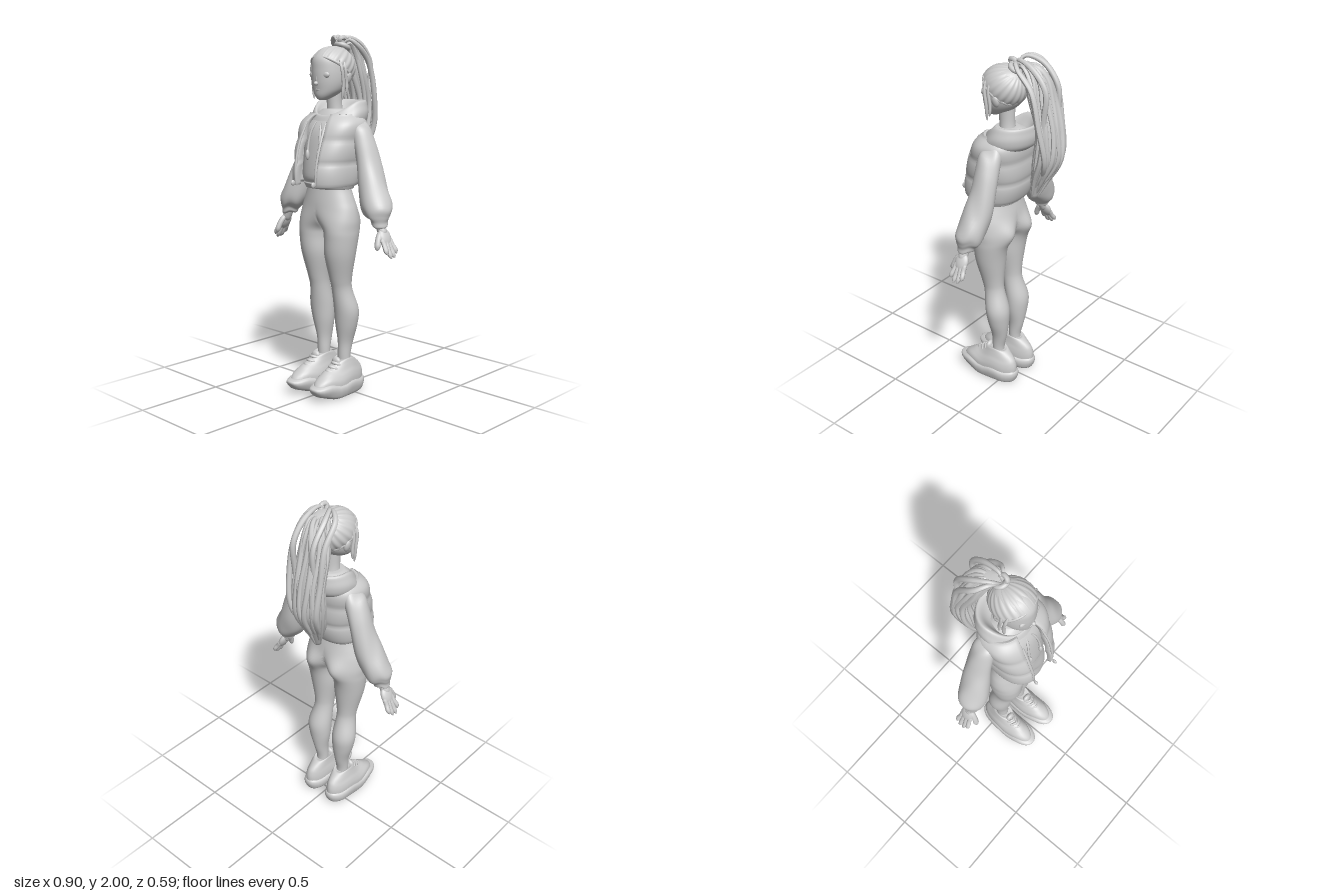
import * as THREE from 'three';

const V = (x, y, z) => new THREE.Vector3(x, y, z);
const grey = new THREE.MeshStandardMaterial({ color: 0xcccccc, side: THREE.DoubleSide });
grey.name = 'clay grey';

// Catmull-Rom resampling of rows of numbers
function smoothRows(rows, k) {
  const out = [], n = rows.length;
  for (let i = 0; i < n - 1; i++) {
    const [a, b, c, d] = [rows[Math.max(i - 1, 0)], rows[i], rows[i + 1], rows[Math.min(i + 2, n - 1)]];
    for (let j = 0; j < k; j++) {
      const t = j / k;
      out.push(b.map((_, q) => b[q] + 0.5 * t * (c[q] - a[q] + t * (2 * a[q] - 5 * b[q] + 4 * c[q] - d[q] + t * (3 * (b[q] - c[q]) + d[q] - a[q])))));
    }
  }
  out.push(rows[n - 1]);
  return out;
}

// Skin over closed rings listed bottom to top, with end caps
function skin(rings, cap) {
  const m = rings[0].length, pts = rings.flat(), idx = [];
  for (let i = 0; i < rings.length - 1; i++) for (let j = 0; j < m; j++) {
    const a = i * m + j, b = i * m + (j + 1) % m;
    idx.push(a, b, b + m, a, b + m, a + m);
  }
  if (cap) [0, rings.length - 1].forEach((r, e) => {
    const c = pts.length, mid = V(0, 0, 0);
    rings[r].forEach(p => mid.addScaledVector(p, 1 / m));
    pts.push(mid);
    for (let j = 0; j < m; j++) {
      const a = r * m + j, b = r * m + (j + 1) % m;
      idx.push(...(e ? [c, a, b] : [c, b, a]));
    }
  });
  const g = new THREE.BufferGeometry().setFromPoints(pts);
  g.setIndex(idx);
  g.computeVertexNormals();
  return g;
}

const spow = (v, p) => Math.sign(v) * Math.abs(v) ** (2 / p);
const oval = (y, cx, cz, rx, rz, a, p = 2) => V(cx + rx * spow(Math.sin(a), p), y, cz + rz * spow(Math.cos(a), p));

// Body of oval sections; rows are [y, cx, cz, rx, rz]
function loft(rows, { p = 2, seg = 36, bend = null, cap = true } = {}) {
  return skin(smoothRows(rows, 5).map(r => Array.from({ length: seg }, (_, j) => {
    const v = oval(...r, j / seg * Math.PI * 2, p);
    if (bend) bend(v);
    return v;
  })), cap);
}

const ball = (x, y, z, rx, ry, rz, tilt = 0) =>
  new THREE.SphereGeometry(1, 24, 16).scale(rx, ry, rz).rotateZ(tilt).translate(x, y, z);

// Tube through points, tapered at both ends
function strand(points, r, seg = 30, sides = 7) {
  const curve = new THREE.CatmullRomCurve3(points), g = new THREE.TubeGeometry(curve, seg, r, sides);
  const pos = g.attributes.position, v = V(0, 0, 0);
  for (let i = 0; i <= seg; i++) {
    const c = curve.getPointAt(i / seg), f = Math.max(0.02, Math.min(1, Math.sqrt(5 * Math.min(i, seg - i) / seg)));
    for (let j = 0; j <= sides; j++) {
      const q = i * (sides + 1) + j;
      v.fromBufferAttribute(pos, q).sub(c).multiplyScalar(f).add(c);
      pos.setXYZ(q, v.x, v.y, v.z);
    }
  }
  g.computeVertexNormals();
  return g;
}

function mirrored(geo) {
  const g = geo.clone().scale(-1, 1, 1), ix = g.index.array;
  for (let i = 0; i < ix.length; i += 3) [ix[i], ix[i + 1]] = [ix[i + 1], ix[i]];
  return g;
}

export function createModel() {
  const model = new THREE.Group();
  const add = (name, g) => {
    const mesh = new THREE.Mesh(g, grey);
    mesh.name = name;
    model.add(mesh);
  };
  const pair = (name, g) => { add(name + 'Left', g); add(name + 'Right', mirrored(g)); };

  // Leg and half of the hips in one skin, cut flat at the midline, with a rounded seat
  const leg = loft([[0.15, 0.08, 0.035, 0.036, 0.035], [0.22, 0.08, 0.036, 0.036, 0.036], [0.3, 0.083, 0.028, 0.041, 0.047],
    [0.4, 0.09, 0.028, 0.063, 0.062], [0.49, 0.094, 0.033, 0.07, 0.069], [0.6, 0.086, 0.058, 0.056, 0.06],
    [0.67, 0.086, 0.07, 0.06, 0.066], [0.8, 0.09, 0.08, 0.084, 0.089], [0.9, 0.096, 0.077, 0.091, 0.1],
    [0.95, 0.09, 0.074, 0.099, 0.105], [1.0, 0.06, 0.072, 0.13, 0.108], [1.06, 0.015, 0.07, 0.165, 0.108],
    [1.11, 0, 0.07, 0.162, 0.105], [1.18, 0, 0.072, 0.137, 0.095], [1.24, 0, 0.07, 0.135, 0.09]], {
    seg: 56, bend: v => {
      const back = THREE.MathUtils.smoothstep(0.07 - v.z, 0, 0.09);
      v.z -= 0.036 * back * Math.exp(-(((v.x - 0.085) / 0.06) ** 2) - ((v.y - 0.995) / 0.07) ** 2);
      v.x = Math.max(v.x, 0);
    }
  });
  const lp = leg.attributes.position, ln = leg.attributes.normal;
  for (let i = 0; i < lp.count; i++) if (lp.getX(i) === 0) {
    const n = V(0, ln.getY(i), ln.getZ(i)).normalize();
    ln.setXYZ(i, 0, n.y, n.z);
  }
  pair('leg', leg);

  // Chunky shoes
  const toe = v => {
    const f = Math.max(0, v.z - 0.12) / 0.18;
    v.y += 0.045 * f * f * Math.max(0, 1 - v.y / 0.13);
    v.y += 0.007 * Math.sin(v.z * 38) * Math.min(1, v.y / 0.03);
    v.x += 0.02 * (v.z - 0.03);
  };
  pair('shoeSole', loft([[0, 0.087, 0.09, 0.052, 0.15], [0.012, 0.087, 0.095, 0.068, 0.18], [0.045, 0.087, 0.1, 0.078, 0.2],
    [0.07, 0.087, 0.1, 0.077, 0.198], [0.085, 0.087, 0.095, 0.066, 0.18]], { p: 2.4, bend: toe }));
  pair('shoeUpper', loft([[0.06, 0.087, 0.095, 0.07, 0.188], [0.1, 0.087, 0.085, 0.07, 0.178], [0.13, 0.086, 0.065, 0.064, 0.152],
    [0.155, 0.084, 0.052, 0.056, 0.128], [0.182, 0.082, 0.045, 0.05, 0.098], [0.203, 0.08, 0.045, 0.045, 0.068],
    [0.198, 0.08, 0.04, 0.034, 0.045]], { p: 2.1, bend: toe }));
  for (let i = 0; i < 4; i++) {
    const y = 0.135 + i * 0.018, z = 0.204 - i * 0.024;
    pair('shoeLace' + i, strand([V(0.052, y - 0.008, z - 0.03), V(0.086, y + 0.003, z - 0.004), V(0.122, y - 0.008, z - 0.03)], 0.009, 12));
  }
  pair('shoeTongue', ball(0.082, 0.195, 0.1, 0.03, 0.026, 0.018));

  // Hoodie body, hem and drawstrings
  add('hoodieBody', loft([[1.17, 0, 0.068, 0.143, 0.108], [1.195, 0, 0.07, 0.153, 0.12], [1.205, 0, 0.07, 0.15, 0.117],
    [1.24, 0, 0.065, 0.16, 0.133], [1.35, 0, 0.052, 0.16, 0.138], [1.48, 0, 0.042, 0.165, 0.125],
    [1.56, 0, 0.02, 0.125, 0.1], [1.6, 0, 0.03, 0.06, 0.06]], { p: 2.2 }));
  pair('drawstring', strand([V(0.018, 1.535, 0.15), V(0.032, 1.49, 0.172), V(0.042, 1.42, 0.188), V(0.04, 1.34, 0.2)], 0.007));
  pair('drawstringTip', ball(0.04, 1.355, 0.199, 0.011, 0.028, 0.011));

  // Hood resting round the neck, dipping to the front
  add('hood', loft([[1.49, 0, 0.02, 0.13, 0.11], [1.53, 0, 0, 0.162, 0.14], [1.575, 0, -0.005, 0.17, 0.15],
    [1.615, 0, -0.015, 0.158, 0.138], [1.642, 0, -0.02, 0.145, 0.128], [1.635, 0, -0.015, 0.125, 0.112],
    [1.59, 0, 0, 0.095, 0.09], [1.55, 0, 0.02, 0.05, 0.05]], {
    cap: false, bend: v => {
      const f = THREE.MathUtils.smoothstep(v.z, -0.02, 0.15);
      v.y -= 0.095 * f;
      v.z += 0.02 * f;
    }
  }));

  // Padded vest, open at the front, with quilted rows
  const vestRows = smoothRows([[1.19, 0, 0.1, 0.175, 0.168], [1.3, 0, 0.082, 0.18, 0.176], [1.42, 0, 0.06, 0.19, 0.162],
    [1.52, 0, 0.037, 0.192, 0.143], [1.575, 0, 0.02, 0.155, 0.11]], 8);
  const vestRing = ([y, cx, cz, rx, rz], thick) => {
    const puff = 0.95 + 0.055 * Math.sqrt(Math.abs(Math.sin(Math.PI * (y - 1.19) / 0.125)));
    const ring = [], n = 44, gap = 0.32;
    for (let side = 0; side < 2; side++) for (let j = 0; j <= n; j++) {
      const a = gap + (side ? n - j : j) / n * (Math.PI * 2 - gap * 2), s = puff - side * thick;
      ring.push(oval(y, cx, cz, rx * s, rz * s, a, 2.5));
    }
    return ring;
  };
  const last = vestRows.length - 1;
  add('vest', skin(vestRows.map((r, i) => vestRing(r, i === 0 || i === last ? 0.01 : 0.15)), false));
  pair('vestZip', strand([V(0.076, 1.19, 0.255), V(0.078, 1.3, 0.25), V(0.08, 1.42, 0.22), V(0.07, 1.54, 0.165)], 0.007));
  pair('zipPull', ball(0.078, 1.205, 0.272, 0.008, 0.016, 0.014));

  // Puffed sleeves, gathered at the cuff
  pair('sleeve', loft([[0.985, 0.348, 0.045, 0.028, 0.034], [0.995, 0.348, 0.045, 0.042, 0.045], [1.02, 0.342, 0.043, 0.047, 0.052],
    [1.05, 0.325, 0.037, 0.072, 0.073], [1.1, 0.312, 0.032, 0.089, 0.082], [1.2, 0.272, 0.018, 0.075, 0.08],
    [1.32, 0.235, 0.008, 0.062, 0.072], [1.42, 0.202, 0.006, 0.058, 0.068], [1.5, 0.168, 0.008, 0.054, 0.06],
    [1.55, 0.135, 0.01, 0.03, 0.03]], { bend: v => { v.y += 0.008 * Math.sin(v.x * 55 + v.z * 40); } }));

  // Hands
  pair('wrist', strand([V(0.325, 1.06, 0.045), V(0.352, 1.0, 0.047), V(0.385, 0.93, 0.048)], 0.026, 12, 12));
  pair('palm', ball(0.386, 0.935, 0.045, 0.021, 0.054, 0.041, 0.44));
  [[0.074, 0.08, 0.85], [0.054, 0.057, 0.828], [0.034, 0.032, 0.83], [0.016, 0.009, 0.85]].forEach(([z0, z1, y], i) =>
    pair('finger' + i, strand([V(0.385, 0.94, z0), V(0.41, 0.895, z0), V(0.426, (0.895 + y) / 2, z1), V(0.449 - (y - 0.825) * 0.4, y, z1)], 0.0135, 14, 8)));
  pair('thumb', strand([V(0.37, 0.97, 0.06), V(0.38, 0.925, 0.092), V(0.39, 0.87, 0.112)], 0.016, 14, 8));

  // Neck, head and face
  add('neck', loft([[1.54, 0, 0.02, 0.055, 0.05], [1.62, 0, 0.03, 0.041, 0.043], [1.74, 0, 0.035, 0.043, 0.05]]));
  add('head', loft([[1.648, 0, 0.122, 0.015, 0.02], [1.655, 0, 0.115, 0.032, 0.037], [1.675, 0, 0.097, 0.057, 0.064],
    [1.705, 0, 0.075, 0.081, 0.09], [1.75, 0, 0.057, 0.097, 0.113], [1.81, 0, 0.048, 0.102, 0.123],
    [1.87, 0, 0.045, 0.095, 0.118], [1.915, 0, 0.04, 0.065, 0.08], [1.932, 0, 0.04, 0.015, 0.02]]));
  add('nose', ball(0, 1.737, 0.172, 0.012, 0.012, 0.013));
  add('noseBridge', ball(0, 1.765, 0.16, 0.01, 0.034, 0.012));
  add('upperLip', ball(0, 1.705, 0.157, 0.021, 0.006, 0.011));
  add('lowerLip', ball(0, 1.695, 0.153, 0.017, 0.007, 0.012));
  pair('eyelid', ball(0.042, 1.783, 0.145, 0.03, 0.02, 0.014));
  pair('ear', ball(0.102, 1.765, 0.03, 0.014, 0.034, 0.022, -0.25));

  // Combed hair swept back to a high tie
  const hair = new THREE.SphereGeometry(1, 120, 24, 0, Math.PI * 2, 0, Math.PI * 0.55), hp = hair.attributes.position;
  for (let i = 0; i < hp.count; i++) {
    const x = hp.getX(i), z = hp.getZ(i), k = 1 + 0.018 * Math.sin(Math.atan2(z, x) * 20) * Math.hypot(x, z);
    hp.setXYZ(i, x * k, hp.getY(i) * k, z * k);
  }
  hair.rotateX(-0.7).scale(0.116, 0.113, 0.13).translate(0, 1.822, 0.043);
  hair.computeVertexNormals();
  add('hairCap', hair);
  const rim = Array.from({ length: 9 }, (_, i) => {
    const a = i / 8 * Math.PI, t = Math.PI * 0.55;
    return V(Math.sin(t) * Math.sin(a), Math.cos(t), Math.sin(t) * Math.cos(a)).applyAxisAngle(V(1, 0, 0), -0.7)
      .multiply(V(0.113, 0.11, 0.127)).add(V(0, 1.822, 0.043));
  });
  pair('hairline', strand(rim, 0.008));
  for (let i = 0; i < 2; i++) pair('sideLock' + i, strand([V(0.1, 1.865, 0.095 - i * 0.03), V(0.115, 1.81, 0.09 - i * 0.025),
    V(0.115, 1.74, 0.08 - i * 0.025), V(0.107 + i * 0.01, 1.65 + i * 0.03, 0.08 - i * 0.025)], 0.009));
  add('hairTie', new THREE.TorusGeometry(0.033, 0.014, 10, 24).rotateX(1.1).translate(0, 1.932, -0.03));

  // Ponytail core; rows are [y, cx, cz, rx, rz]
  const tail = [[1.21, -0.035, -0.125, 0.02, 0.02], [1.34, -0.047, -0.165, 0.055, 0.045], [1.47, -0.055, -0.205, 0.08, 0.066],
    [1.62, -0.055, -0.21, 0.085, 0.052], [1.78, -0.05, -0.165, 0.078, 0.058], [1.89, -0.04, -0.13, 0.056, 0.06],
    [1.95, -0.02, -0.085, 0.036, 0.05], [1.965, -0.01, -0.05, 0.02, 0.02]];
  add('ponytail', loft(tail, { seg: 28 }));

  // Long twisted locks over the core
  for (let i = 0; i < 20; i++) {
    const a = i / 20 * Math.PI * 2, end = (i * 7 % 5) * 0.018;
    const pts = tail.slice(0, 7).map((r, j) => {
      const v = oval(...r, a + 0.15 * Math.sin(j * 1.3 + i * 2));
      if (j === 0) v.y += end;
      return v;
    });
    add('lock' + i, strand([...pts, V(0, 1.93, -0.03)], 0.01 + 0.003 * (i % 3), 50));
  }

  // High looping locks above the tie
  [[-0.125, -0.09, 1.985], [-0.09, -0.13, 1.985], [0.022, -0.14, 1.98], [0.06, -0.08, 1.97]].forEach(([x, z, y], i) =>
    add('loopLock' + i, strand([V(0, 1.925, -0.02), V(x * 0.55, y, -0.045), V(x, y - 0.025, z), V(x * 1.1, 1.85, z - 0.09),
      V(x * 1.12, 1.66, -0.22), V(x * 0.9 - 0.015, 1.47, -0.24), V(-0.05 + x * 0.3, 1.3, -0.165)], 0.0155, 50, 9)));
  add('topCurl', strand([V(0, 1.93, -0.02), V(0.012, 1.975, 0.0), V(0.018, 1.98, -0.03), V(0.0, 1.94, -0.05)], 0.013, 24));
  return model;
}
